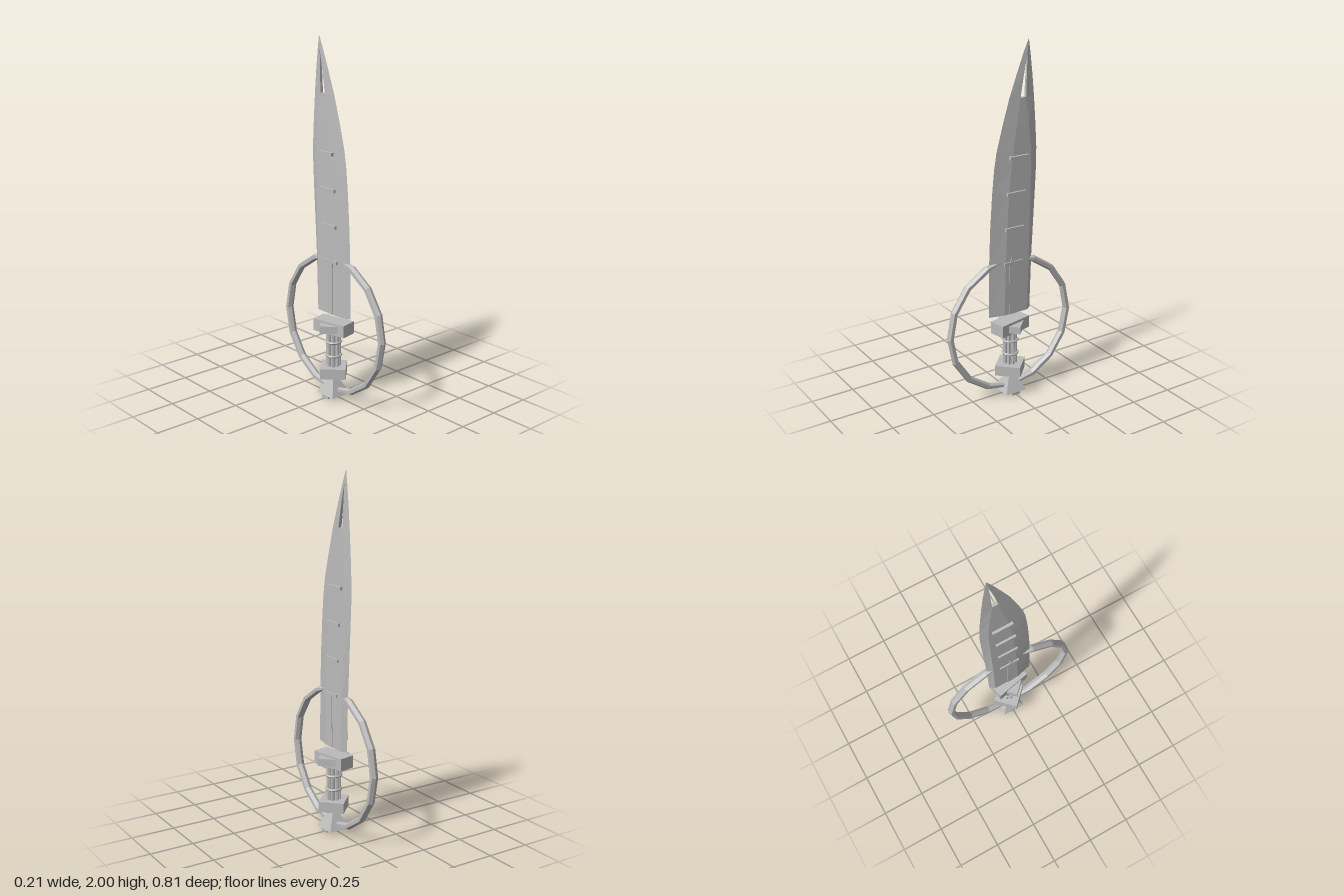
import * as THREE from 'three';

const steel = new THREE.MeshStandardMaterial({ color: 0xbbbbbb, flatShading: true });
steel.name = 'steel';

// Closed solid through a list of rings, each ring an array of [x, y, z]
function loft(rings) {
  const n = rings[0].length, pos = rings.flat(2), idx = [];
  for (let i = 0; i < rings.length - 1; i++) {
    for (let j = 0; j < n; j++) {
      const a = i * n + j, b = i * n + (j + 1) % n;
      idx.push(a, b, b + n, a, b + n, a + n);
    }
  }
  const top = (rings.length - 1) * n;
  for (let j = 1; j < n - 1; j++) idx.push(0, j + 1, j, top, top + j, top + j + 1);
  const g = new THREE.BufferGeometry();
  g.setAttribute('position', new THREE.Float32BufferAttribute(pos, 3));
  g.setIndex(idx);
  const flat = g.toNonIndexed();
  flat.computeVertexNormals();
  return flat;
}

export function createModel() {
  const model = new THREE.Group();
  const add = (name, geometry, x = 0, y = 0, z = 0, turn = 0) => {
    const m = new THREE.Mesh(geometry, steel);
    m.name = name;
    m.position.set(x, y, z);
    m.rotation.y = turn;
    model.add(m);
    return m;
  };
  const box = (name, w, h, d, y, z = 0, turn = 0) =>
    add(name, new THREE.BoxGeometry(w, h, d), 0, y, z, turn);

  // Blade body: [y, front edge, front ridge, back ridge, back edge, half thickness]
  const body = [
    [0.49, 0.14, 0.05, -0.1, -0.13, 0.022],
    [0.8, 0.135, 0.04, -0.108, -0.14, 0.021],
    [1.0, 0.127, 0.03, -0.115, -0.151, 0.019],
    [1.2, 0.113, 0.015, -0.121, -0.162, 0.017],
    [1.33, 0.1, 0.0, -0.125, -0.168, 0.015],
    [1.42, 0.085, -0.012, -0.124, -0.168, 0.014],
    [1.55, 0.05, -0.035, -0.112, -0.161, 0.012],
    [1.7, 0.005, -0.06, -0.095, -0.15, 0.009],
  ];
  add('blade', loft(body.map(([y, f, a, b, r, t]) =>
    [[0, y, f], [t, y, a], [t, y, b], [0, y, r], [-t, y, b], [-t, y, a]])));

  // Two prongs either side of the slot, meeting below the point
  const prongs = [
    [1.7, 0.005, -0.06, -0.095, -0.15, 0.009],
    [1.82, -0.04, -0.082, -0.1, -0.139, 0.007],
    [1.93, -0.083, -0.106, -0.106, -0.126, 0.004],
    [2.0, -0.114, -0.115, -0.115, -0.116, 0.0005],
  ];
  add('frontProng', loft(prongs.map(([y, f, a, , , t]) => [[0, y, f], [t, y, a], [-t, y, a]])));
  add('backProng', loft(prongs.map(([y, , , b, r, t]) => [[t, y, b], [0, y, r], [-t, y, b]])));

  // Raised centre strip with an arrow tip
  add('centreStrip', loft([[0.49, 0.02], [0.8, 0.017], [0.825, 0.002]].map(([y, w]) =>
    [[0.025, y, w], [0.025, y, -w], [-0.025, y, -w], [-0.025, y, w]])));

  // Cross bars climbing the leaning blade
  [[0.793, -0.007], [0.99, -0.017], [1.188, -0.028], [1.385, -0.045]].forEach(([y, z]) =>
    box('crossBar', 0.058, 0.018, 0.118, y, z));

  // Large hoop: two facetted halves, thinned where they reach the blade
  const section = [[1, 0], [0.5, 1], [-0.5, 1], [-1, 0], [-0.5, -1], [0.5, -1]];
  const steps = [[-88, 0.6], [-67.5, 1], [-45, 1], [-22.5, 1], [0, 1], [22.5, 1], [45, 1], [67.5, 1], [81, 0.15]];
  const half = loft(steps.map(([deg, s]) => {
    const a = THREE.MathUtils.degToRad(deg);
    return section.map(([u, v]) => {
      const r = 0.386 + u * 0.019 * s;
      return [v * 0.02 * Math.max(s, 0.5), 0.425 + r * Math.sin(a), r * Math.cos(a)];
    });
  }));
  add('frontHoop', half);
  add('backHoop', half, 0, 0, 0, Math.PI);

  // Guard: a skewed block with a diamond block through it
  box('guardBlock', 0.095, 0.07, 0.208, 0.415, 0, 0.21);
  box('guardDiamond', 0.146, 0.042, 0.146, 0.415, 0, Math.PI / 4);

  // Fluted grip with bands
  add('gripCore', new THREE.CylinderGeometry(0.03, 0.03, 0.21, 8), 0, 0.28, 0);
  for (let i = 0; i < 8; i++) {
    const a = (i * Math.PI) / 4;
    add('gripRod', new THREE.CylinderGeometry(0.01, 0.01, 0.21, 6),
      0.032 * Math.cos(a), 0.28, 0.032 * Math.sin(a));
  }
  for (const y of [0.245, 0.325]) {
    const band = new THREE.TorusGeometry(0.042, 0.007, 6, 16).rotateX(Math.PI / 2);
    add('gripBand', band, 0, y, 0);
  }

  // Lower diamond block and flared pommel
  box('lowerBlock', 0.143, 0.06, 0.143, 0.153, 0, Math.PI / 4);
  const flare = new THREE.CylinderGeometry(0.008, 0.094, 0.118, 4).rotateY(Math.PI / 4);
  add('pommelFlare', flare, 0, 0.074, 0);
  box('pommelBase', 0.13, 0.015, 0.05, 0.0075);
  box('pommelKnob', 0.05, 0.06, 0.05, 0.03);

  return model;
}
